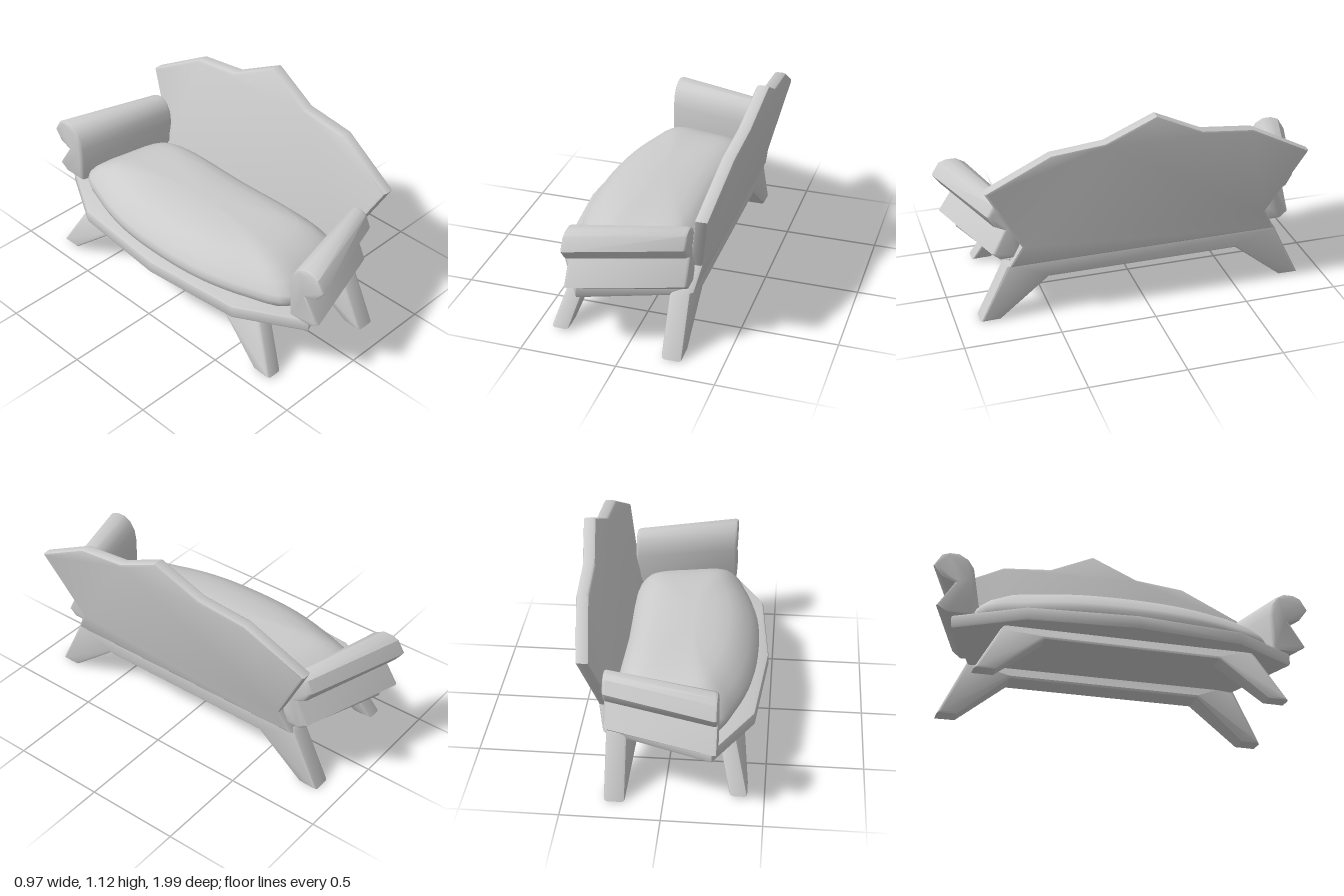
import * as THREE from 'three';
import { mergeVertices, toCreasedNormals } from 'three/addons/utils/BufferGeometryUtils.js';

const material = new THREE.MeshStandardMaterial({ color: 0xcccccc });

// Move every vertex by a rule
function warp(geo, rule) {
  const p = geo.attributes.position, v = new THREE.Vector3();
  for (let i = 0; i < p.count; i++) {
    rule(v.fromBufferAttribute(p, i));
    p.setXYZ(i, v.x, v.y, v.z);
  }
  return geo;
}

// Slab with a (z, y) outline running from x0 to x1, edges bevelled inward
function slab(points, x0, x1, bevel, rule = () => {}) {
  const shape = new THREE.Shape(points.map(([z, y]) => new THREE.Vector2(-z, y)));
  const geo = new THREE.ExtrudeGeometry(shape, {
    depth: x1 - x0 - 2 * bevel, bevelEnabled: true, bevelThickness: bevel,
    bevelSize: bevel, bevelOffset: -bevel, bevelSegments: 2,
  });
  geo.rotateY(Math.PI / 2).translate(x0 + bevel, 0, 0);
  return toCreasedNormals(warp(geo, rule), 0.65);
}

// Complete a half outline with its mirror image in z
const mirrored = (half) =>
  [...half, ...half.filter(([z]) => z > 0).reverse().map(([z, y]) => [-z, y])];

function cushionGeometry() {
  const side = [[-0.41, 0.3], [-0.34, 0.56], [-0.24, 0.76], [0, 0.745], [0.21, 0.685], [0.265, 0.58]];
  const loop = [[-0.43, 0], ...side, [0.268, 0], ...side.slice().reverse().map(([x, z]) => [x, -z])];
  const cx = -0.08;
  const outline = new THREE.CatmullRomCurve3(
    loop.map(([x, z]) => new THREE.Vector3(x - cx, 0, z)), true, 'centripetal');
  const profile = [[0, 0.345], [0.94, 0.345], [0.98, 0.36], [1, 0.39], [0.97, 0.42], [0.86, 0.465],
    [0.7, 0.508], [0.54, 0.533], [0.35, 0.548], [0.15, 0.556], [0, 0.558]];
  const geo = new THREE.LatheGeometry(profile.map(([r, y]) => new THREE.Vector2(r, y)), 56);
  warp(geo, (v) => {
    const r = Math.hypot(v.x, v.z);
    const u = (Math.atan2(v.x, v.z) / (2 * Math.PI) + 1) % 1;
    const o = outline.getPoint(u);
    const full = Math.pow(r, 0.6);       // fuller at the back and ends, sloping at the front
    v.x = cx + o.x * (o.x > 0 ? full : r);
    v.z = o.z * full;
  });
  geo.deleteAttribute('uv');
  geo.deleteAttribute('normal');
  const merged = mergeVertices(geo, 1e-4);
  merged.computeVertexNormals();
  return merged;
}

export function createModel() {
  const model = new THREE.Group();
  const add = (name, geo) => {
    const mesh = new THREE.Mesh(geo, material);
    mesh.name = name;
    model.add(mesh);
  };

  // Seat board with a pointed front
  const plan = mirrored([[0, -0.485], [0.55, -0.435], [0.89, -0.24], [0.71, 0.275]]);
  const board = new THREE.ExtrudeGeometry(
    new THREE.Shape(plan.map(([z, x]) => new THREE.Vector2(x, z))),
    { depth: 0.044, bevelThickness: 0.014, bevelSize: 0.014, bevelOffset: -0.014, bevelSegments: 2 });
  board.rotateX(-Math.PI / 2).translate(0, 0.292, 0);
  warp(board, (v) => { if (v.x > 0.2 && v.y < 0.31) v.x -= 0.02; });
  add('seatBoard', toCreasedNormals(board, 0.65));

  // Cushion
  add('seatCushion', cushionGeometry());

  // Leaning backrest with a stepped crest
  const crest = mirrored([[0, 1.125], [0.25, 1.0], [0.52, 0.97], [0.845, 0.79], [0.655, 0.43], [0.72, 0.305]]);
  add('backrest', slab(crest, 0.245, 0.312, 0.015, (v) => { v.x += 0.215 * (v.y - 0.31); }));

  // Rolled arms, closer together and slimmer toward the back
  const arm = [[0.79, 0.35], [0.785, 0.45], [0.785, 0.55], [0.795, 0.61], [0.825, 0.655], [0.87, 0.68],
    [0.92, 0.68], [0.96, 0.665], [1.0, 0.6], [0.955, 0.54], [0.89, 0.515], [0.975, 0.385], [0.92, 0.35]];
  for (const [name, s] of [['leftArm', 1], ['rightArm', -1]]) {
    add(name, slab(arm.map(([z, y]) => [s * z, y]), -0.27, 0.298, 0.016, (v) => {
      const t = (v.x + 0.27) / 0.568;
      const front = Math.abs(v.z);
      const back = 0.65 + (front - 0.785) * 0.76;
      v.z = s * THREE.MathUtils.lerp(front, back, t);
    }));
  }

  // Leg frames: a rail with splayed legs, thicker on the inner front edge
  const rear = mirrored([[0.71, 0.325], [0.73, 0.3], [0.875, 0], [0.77, 0], [0.51, 0.21]]);
  add('rearLegs', slab(rear, 0.19, 0.296, 0.015, (v) => {
    if (Math.abs(v.z) < 0.6 && v.x < 0.24) v.x -= 0.04;
  }));
  const fore = mirrored([[0.63, 0.3], [0.66, 0.26], [0.795, 0.012], [0.69, 0.012], [0.45, 0.21]]);
  add('frontLegs', slab(fore, -0.345, -0.255, 0.015, (v) => {
    if (Math.abs(v.z) < 0.55 && v.x < -0.3) v.x -= 0.02;
    v.x -= 0.27 * (0.28 - v.y);
  }));

  return model;
}
